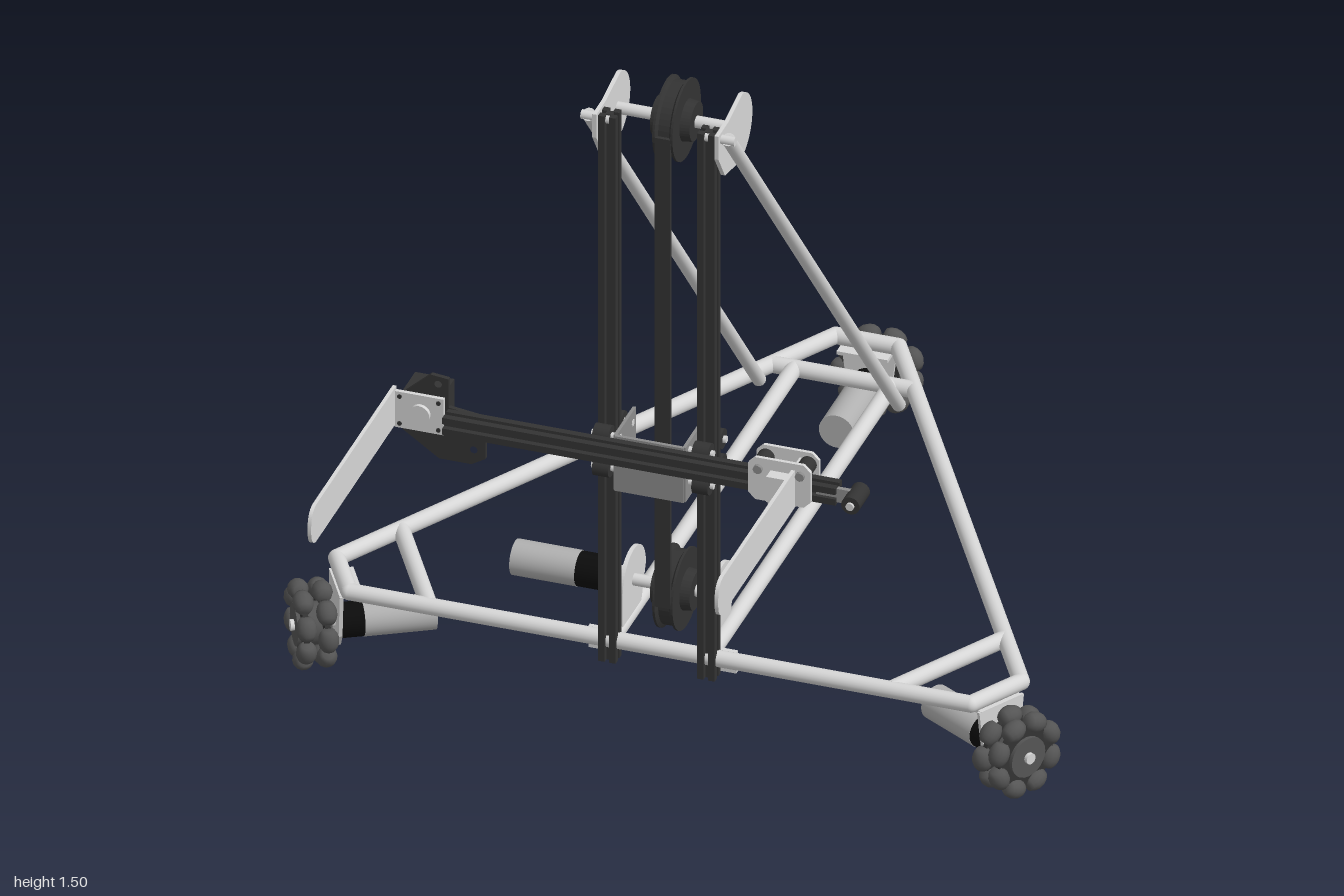
import * as THREE from 'three';

const mat = (name, color) => Object.assign(new THREE.MeshStandardMaterial({ color }), { name });

export function createModel() {
  const light = mat('light aluminium', 0xd6d6d6);
  const motorGrey = mat('motor grey', 0xb0b0b0);
  const midGrey = mat('carriage grey', 0x8c8c8c);
  const rubber = mat('roller grey', 0x555555);
  const dark = mat('dark anodised', 0x333333);
  const black = mat('black', 0x0c0c0c);

  const root = new THREE.Group();
  root.name = 'liftRobot';
  const V = (x, y, z) => new THREE.Vector3(x, y, z);
  const add = (parent, name, geo, material, pos = [0, 0, 0]) => {
    const m = new THREE.Mesh(geo, material);
    m.name = name;
    m.position.set(...pos);
    parent.add(m);
    return m;
  };
  const box = (parent, name, material, size, pos) => add(parent, name, new THREE.BoxGeometry(...size), material, pos);
  // Round bar between two points
  const bar = (parent, name, material, a, b, r, sides = 20) => {
    const d = b.clone().sub(a);
    const m = add(parent, name, new THREE.CylinderGeometry(r, r, d.length(), sides), material, a.clone().add(b).multiplyScalar(0.5).toArray());
    m.quaternion.setFromUnitVectors(V(0, 1, 0), d.normalize());
    return m;
  };
  // Plate cut from a shape, centred on its thickness
  const plate = (shape, t) => new THREE.ExtrudeGeometry(shape, { depth: t, bevelEnabled: false, curveSegments: 16 }).translate(0, 0, -t / 2);
  // Same plate, lying in the z-y plane
  const sidePlate = (shape, t) => plate(shape, t).rotateY(-Math.PI / 2);
  const poly = pts => new THREE.Shape(pts.map(p => new THREE.Vector2(...p)));
  const hole = (shape, x, y, r) => {
    shape.holes.push(new THREE.Path().absarc(x, y, r, 0, Math.PI * 2, true));
    return shape;
  };

  // ---- Base corners: three identical sectors with frame bars, wheel and motor
  const Y = 0.203, R = 0.018, WY = 0.095;
  const barrel = new THREE.LatheGeometry([[0, -0.024], [0.012, -0.024], [0.018, -0.016], [0.0215, -0.006], [0.0215, 0.006], [0.018, 0.016], [0.012, 0.024], [0, 0.024]]
    .map(p => new THREE.Vector2(...p)), 14);
  const bracket = hole(poly([[-0.06, 0.09], [-0.048, -0.01], [-0.03, -0.04], [0.03, -0.04], [0.048, -0.01], [0.06, 0.09]]), 0, 0, 0.012);
  [Math.PI, Math.PI / 3, -Math.PI / 3].forEach((angle, i) => {
    const s = new THREE.Group();
    s.name = ['backCorner', 'leftCorner', 'rightCorner'][i];
    s.position.z = -0.075;
    s.rotation.y = angle;
    root.add(s);
    const c = V(0.068, Y, 0.815), c2 = V(-0.068, Y, 0.815);
    bar(s, 'cornerBar', light, c, c2, R);
    bar(s, 'sideBar', light, c, c2.clone().applyAxisAngle(V(0, 1, 0), Math.PI * 2 / 3), R);
    bar(s, 'cornerBrace', light, V(0.153, Y, 0.665), V(-0.153, Y, 0.665), R);
    for (const p of [c, c2]) add(s, 'cornerJoint', new THREE.SphereGeometry(R, 20, 12), light, p.toArray());
    // Motor and mount
    bar(s, 'driveMotor', motorGrey, V(0, WY, 0.625), V(0, WY, 0.775), 0.038, 32);
    bar(s, 'gearbox', black, V(0, WY, 0.775), V(0, WY, 0.825), 0.037, 32);
    add(s, 'motorMount', plate(bracket, 0.008), light, [0, WY, 0.829]);
    box(s, 'mountFoot', light, [0.11, 0.008, 0.05], [0, 0.182, 0.808]);
    bar(s, 'wheelAxle', light, V(0, WY, 0.82), V(0, WY, 0.925), 0.012);
    // Omni wheel: two staggered rings of rollers
    const w = new THREE.Group();
    w.name = 'omniWheel';
    w.position.set(0, WY, 0.881);
    s.add(w);
    bar(w, 'wheelHub', rubber, V(0, 0, -0.036), V(0, 0, 0.036), 0.045, 24);
    for (const row of [-1, 1]) {
      bar(w, 'wheelDisc', dark, V(0, 0, row * 0.022 - 0.006), V(0, 0, row * 0.022 + 0.006), 0.072, 32);
      for (let k = 0; k < 8; k++) {
        const a = (k + (row > 0 ? 0.5 : 0)) * Math.PI / 4;
        const m = add(w, 'roller', barrel, rubber, [Math.cos(a) * 0.0735, Math.sin(a) * 0.0735, row * 0.0225]);
        m.rotation.z = a;
      }
    }
  });

  // ---- Tower
  // Slotted rail section, one quarter repeated four times
  const railShape = (w) => {
    const h = w / 2, g = w * 0.13, d = w * 0.2, pts = [];
    const quarter = [[h, h], [g, h], [g, d], [-g, d], [-g, h]];
    for (let k = 0; k < 4; k++) {
      for (const [x, y] of quarter) {
        const c = Math.round(Math.cos(k * Math.PI / 2)), s = Math.round(Math.sin(k * Math.PI / 2));
        pts.push([x * c - y * s, x * s + y * c]);
      }
    }
    return poly(pts);
  };
  const topPlate = new THREE.Shape();
  topPlate.moveTo(0.42, 1.465);
  topPlate.lineTo(0.42, 1.41);
  topPlate.lineTo(0.38, 1.35);
  topPlate.lineTo(0.31, 1.335);
  topPlate.absarc(0.285, 1.408, 0.075, -1.25, 1.75, true);
  topPlate.lineTo(0.36, 1.465);
  const lowPlate = new THREE.Shape();
  lowPlate.moveTo(0.36, 0.2);
  lowPlate.lineTo(0.36, 0.29);
  lowPlate.absarc(0.288, 0.29, 0.072, 0, Math.PI, false);
  lowPlate.lineTo(0.25, 0.2);
  for (const sx of [-1, 1]) {
    const rail = add(root, 'towerRail', plate(railShape(0.038), 1.3), dark, [sx * 0.107, 0.81, 0.395]);
    rail.rotation.x = -Math.PI / 2;
    bar(root, 'baseRail', light, V(sx * 0.105, Y, -0.74), V(sx * 0.105, Y, 0.385), R);
    bar(root, 'diagonalStrut', light, V(sx * 0.151, 1.45, 0.4), V(sx * 0.151, 0.215, -0.655), 0.0145);
    add(root, 'topBearingPlate', sidePlate(topPlate, 0.009), light, [sx * 0.132, 0, 0]);
    add(root, 'lowerBearingPlate', sidePlate(lowPlate, 0.009), light, [sx * 0.096, 0, 0]);
    bar(root, 'strutBolt', light, V(sx * 0.1, 1.448, 0.4), V(sx * 0.166, 1.448, 0.4), 0.01);
    box(root, 'railFoot', light, [0.05, 0.05, 0.01], [sx * 0.135, 0.19, 0.372]);
  }

  // Pulleys, axles and belt
  const pulley = new THREE.LatheGeometry([[0, -0.043], [0.042, -0.043], [0.045, -0.022], [0.088, -0.022], [0.088, -0.017], [0.08, -0.012],
    [0.08, 0.012], [0.088, 0.017], [0.088, 0.022], [0.045, 0.022], [0.042, 0.043], [0, 0.043]].map(p => new THREE.Vector2(...p)), 40).toNonIndexed();
  pulley.computeVertexNormals();
  for (const y of [0.29, 1.408]) {
    add(root, 'pulley', pulley, dark, [0, y, 0.289]).rotation.z = Math.PI / 2;
    const e = y > 1 ? 0.135 : 0.1;
    bar(root, 'pulleyAxle', light, V(-e, y, 0.289), V(e, y, 0.289), 0.013);
  }
  box(root, 'belt', dark, [0.034, 1.118, 0.008], [0, 0.849, 0.373]);
  bar(root, 'liftMotor', motorGrey, V(-0.35, 0.29, 0.285), V(-0.21, 0.29, 0.285), 0.038, 32);
  bar(root, 'liftGearbox', black, V(-0.21, 0.29, 0.285), V(-0.15, 0.29, 0.285), 0.037, 32);
  bar(root, 'liftCoupling', light, V(-0.15, 0.29, 0.285), V(-0.1, 0.29, 0.285), 0.022);

  // ---- Carriage riding on the rails
  const carriage = new THREE.Group();
  carriage.name = 'carriage';
  root.add(carriage);
  box(carriage, 'carriagePlate', midGrey, [0.15, 0.13, 0.008], [0, 0.667, 0.456]);
  for (const sx of [-1, 1]) {
    box(carriage, 'carriageFlange', midGrey, [0.007, 0.13, 0.12], [sx * 0.0745, 0.667, 0.396]);
    for (const [y, z] of [[0.64, 0.434], [0.715, 0.434], [0.645, 0.355], [0.705, 0.355]]) {
      bar(carriage, 'guideRoller', dark, V(sx * 0.09, y, z), V(sx * 0.125, y, z), 0.022);
      bar(carriage, 'rollerBolt', light, V(sx * 0.07, y, z), V(sx * 0.132, y, z), 0.008, 8);
    }
  }

  // ---- Gripper arm
  const arm = new THREE.Group();
  arm.name = 'gripperArm';
  root.add(arm);
  add(arm, 'armRail', sidePlate(railShape(0.04), 0.85), dark, [-0.005, 0.712, 0.488]);
  bar(arm, 'endPin', dark, V(0.46, 0.712, 0.465), V(0.46, 0.712, 0.53), 0.02);
  bar(arm, 'pinBolt', light, V(0.46, 0.712, 0.455), V(0.46, 0.712, 0.536), 0.009, 8);
  box(arm, 'endLink', midGrey, [0.09, 0.032, 0.01], [0.42, 0.712, 0.495]);

  // Servo with its bracket on the right end
  const bracketShape = poly([[-0.535, 0.745], [-0.468, 0.806], [-0.43, 0.802], [-0.43, 0.735], [-0.35, 0.725], [-0.35, 0.628], [-0.38, 0.61], [-0.45, 0.61], [-0.54, 0.672]]);
  hole(bracketShape, -0.452, 0.786, 0.008);
  hole(bracketShape, -0.375, 0.645, 0.008);
  add(arm, 'servoBracket', plate(bracketShape, 0.01), dark, [0, 0, 0.465]);
  box(arm, 'servo', dark, [0.085, 0.08, 0.075], [-0.487, 0.715, 0.428]);
  box(arm, 'servoFace', light, [0.105, 0.085, 0.009], [-0.49, 0.715, 0.475]);
  bar(arm, 'servoHorn', light, V(-0.487, 0.715, 0.475), V(-0.487, 0.715, 0.488), 0.022);
  for (const dx of [-0.042, 0.042]) for (const dy of [-0.032, 0.032])
    bar(arm, 'servoScrew', dark, V(-0.49 + dx, 0.715 + dy, 0.477), V(-0.49 + dx, 0.715 + dy, 0.482), 0.005, 8);

  // Sliding clamp on the left end
  const clamp = poly([[0.25, 0.68], [0.235, 0.695], [0.235, 0.765], [0.25, 0.78], [0.355, 0.78], [0.37, 0.765], [0.37, 0.695], [0.355, 0.68], [0.328, 0.68], [0.322, 0.655], [0.302, 0.645], [0.282, 0.655], [0.276, 0.68]]);
  for (const z of [0.462, 0.514]) add(arm, 'clampPlate', plate(clamp, 0.008), light, [0, 0, z]);
  for (const [x, y] of [[0.257, 0.755], [0.348, 0.755], [0.302, 0.668]]) {
    bar(arm, 'clampRoller', dark, V(x, y, 0.468), V(x, y, 0.508), 0.018);
    bar(arm, 'clampBolt', midGrey, V(x, y, 0.452), V(x, y, 0.526), 0.01, 8);
  }
  box(arm, 'fingerBlock', light, [0.05, 0.06, 0.03], [0.308, 0.725, 0.53]);

  // Two long flat fingers with rounded tips
  const finger = new THREE.Shape();
  finger.moveTo(0.47, 0.677);
  finger.lineTo(0.965, 0.677);
  finger.quadraticCurveTo(0.998, 0.68, 0.998, 0.72);
  finger.quadraticCurveTo(0.998, 0.762, 0.965, 0.765);
  finger.lineTo(0.47, 0.765);
  const fingerGeo = sidePlate(finger, 0.008);
  add(arm, 'rightFinger', fingerGeo, light, [-0.546, 0, 0]);
  add(arm, 'leftFinger', fingerGeo, light, [0.332, 0, -0.005]);

  return root;
}
